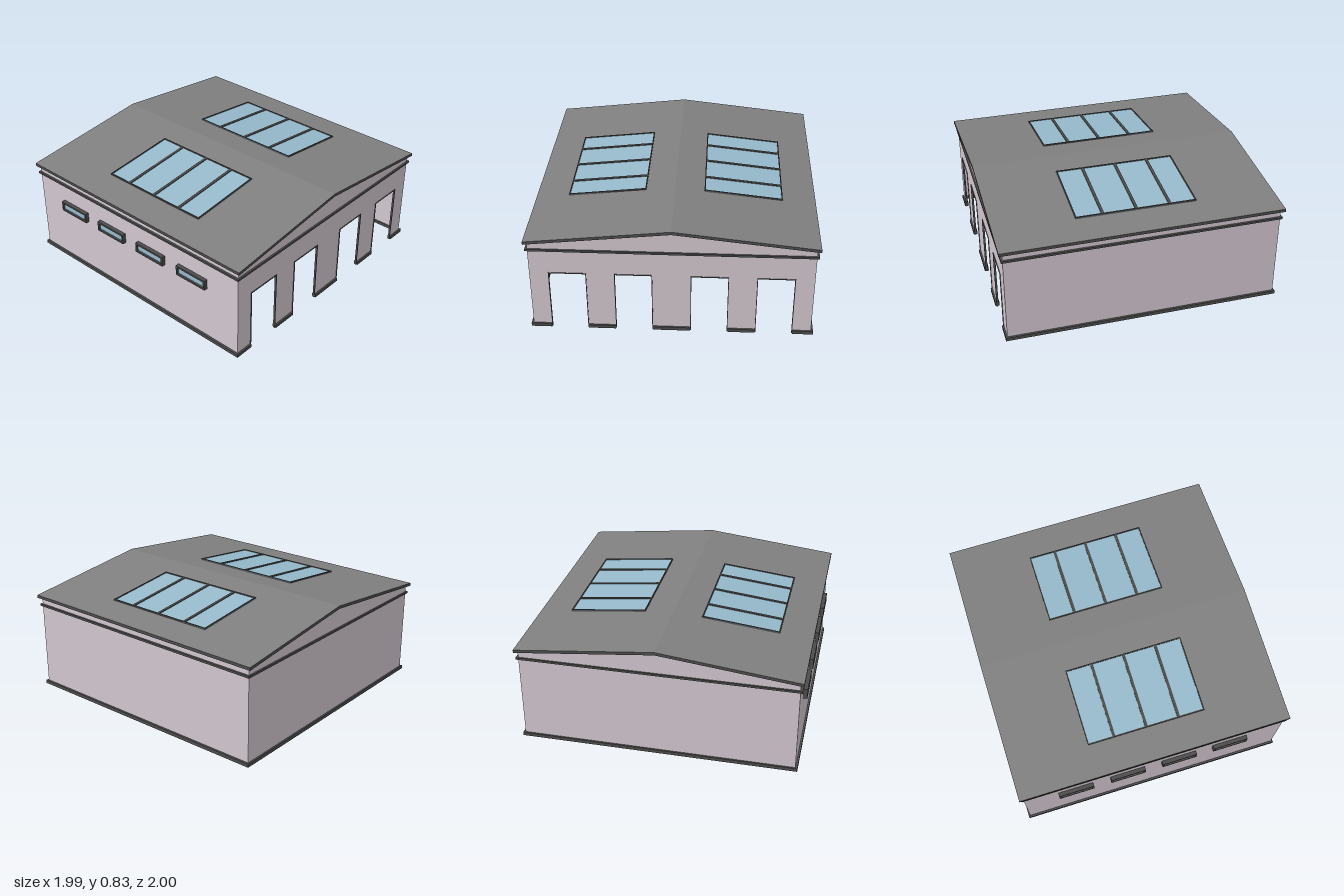
import * as THREE from 'three';

const material = (name, color, side = THREE.FrontSide) => {
  const m = new THREE.MeshStandardMaterial({ color, side });
  m.name = name;
  return m;
};

const WX = 0.969, WZ = 0.974;        // outer wall half sizes
const T = 0.008;                     // wall thickness
const RX = 0.992, RZ = 1.0;          // roof half sizes
const RIDGE = 0.83, SLOPE = 0.111, ROOF_T = 0.022;
const DOORS = [-0.71, -0.26, 0.26, 0.71], DOOR_W = 0.26, DOOR_H = 0.46;
const SKY = { x0: 0.205, x1: 0.757, z: 0.432 };

export function createModel() {
  const wall = material('pale wall', 0xd2c7cf);
  const roof = material('grey roof', 0x808080);
  const trim = material('dark trim', 0x4c4c4c);
  const glass = material('blue glass', 0x96bacb, THREE.DoubleSide);

  const model = new THREE.Group();
  const body = new THREE.Group();
  body.name = 'building';
  body.position.x = 0.003;
  model.add(body);

  const add = (parent, name, geometry, mat) => {
    const mesh = new THREE.Mesh(geometry, mat);
    mesh.name = name;
    parent.add(mesh);
    return mesh;
  };
  // box given by its minimum and maximum on each axis
  const span = (x0, x1, y0, y1, z0, z1) =>
    new THREE.BoxGeometry(x1 - x0, y1 - y0, z1 - z0)
      .translate((x0 + x1) / 2, (y0 + y1) / 2, (z0 + z1) / 2);

  // gable walls, the front one notched by doorways
  const eave = RIDGE - ROOF_T - SLOPE * WX;
  const gable = (doors) => {
    const s = new THREE.Shape();
    s.moveTo(-WX, 0);
    for (const x of doors) {
      const a = x - DOOR_W / 2, b = x + DOOR_W / 2;
      s.lineTo(a, 0); s.lineTo(a, DOOR_H); s.lineTo(b, DOOR_H); s.lineTo(b, 0);
    }
    s.lineTo(WX, 0);
    s.lineTo(WX, eave);
    s.lineTo(0, RIDGE - ROOF_T);
    s.lineTo(-WX, eave);
    s.closePath();
    return new THREE.ExtrudeGeometry(s, { depth: T, bevelEnabled: false });
  };
  add(body, 'frontWall', gable(DOORS).translate(0, 0, WZ - T), wall);
  add(body, 'backWall', gable([]).translate(0, 0, -WZ), wall);
  for (const s of [-1, 1]) {
    add(body, s > 0 ? 'leftWall' : 'rightWall',
      span(-T / 2, T / 2, 0, eave, -WZ + T, WZ - T).translate(s * (WX - T / 2), 0, 0), wall);
  }

  // door frames
  for (const x of DOORS) {
    const frame = new THREE.Group();
    frame.name = 'doorFrame';
    frame.position.x = x;
    body.add(frame);
    const h = DOOR_W / 2, w = 0.005, z0 = WZ - T - 0.002, z1 = WZ + 0.005;
    add(frame, 'leftJamb', span(h - w, h, 0, DOOR_H, z0, z1), trim);
    add(frame, 'rightJamb', span(-h, -h + w, 0, DOOR_H, z0, z1), trim);
    add(frame, 'lintel', span(-h, h, DOOR_H - w, DOOR_H, z0, z1), trim);
  }

  // base plinth and upper band, showing on both faces of the walls
  const OX = WX + 0.015, OZ = WZ + 0.012, D = 0.03;
  const ring = (name, y0, y1, frontRuns) => {
    add(body, name, span(-OX, OX, y0, y1, -OZ, -OZ + D), trim);
    for (const [a, b] of frontRuns) add(body, name, span(a, b, y0, y1, OZ - D, OZ), trim);
    for (const s of [-1, 1]) {
      add(body, name, span(-D / 2, D / 2, y0, y1, -OZ + D, OZ - D)
        .translate(s * (OX - D / 2), 0, 0), trim);
    }
  };
  const runs = [];
  let start = -OX;
  for (const x of DOORS) {
    runs.push([start, x - DOOR_W / 2]);
    start = x + DOOR_W / 2;
  }
  runs.push([start, OX]);
  ring('basePlinth', 0, 0.025, runs);
  ring('wallBand', 0.637, 0.652, [[-OX, OX]]);

  // moves a flat part, drawn with y = 0 as the roof surface, onto the slope
  const onSlope = (geometry) => {
    const p = geometry.attributes.position;
    for (let i = 0; i < p.count; i++) p.setY(i, p.getY(i) + RIDGE - SLOPE * p.getX(i));
    geometry.computeVertexNormals();
    return geometry;
  };

  // two roof halves with skylights
  for (const side of ['left', 'right']) {
    const half = new THREE.Group();
    half.name = side + 'RoofHalf';
    if (side === 'right') half.rotation.y = Math.PI;
    body.add(half);

    const rect = (path, x0, x1, z) => {
      path.moveTo(x0, -z); path.lineTo(x1, -z); path.lineTo(x1, z); path.lineTo(x0, z);
      path.closePath();
      return path;
    };
    const slab = rect(new THREE.Shape(), 0, RX, RZ);
    slab.holes.push(rect(new THREE.Path(), SKY.x0, SKY.x1, SKY.z));
    const slabGeo = new THREE.ExtrudeGeometry(slab, { depth: ROOF_T, bevelEnabled: false })
      .rotateX(-Math.PI / 2).translate(0, -ROOF_T, 0);
    add(half, 'roofSlab', onSlope(slabGeo), [roof, trim]);

    add(half, 'skylightGlass',
      onSlope(span(SKY.x0, SKY.x1, -0.003, 0.004, -SKY.z, SKY.z)), glass);

    // skylight frame and glazing bars
    const f = 0.008, lo = -ROOF_T, hi = 0.01;
    for (const x of [SKY.x0, SKY.x1 - f]) {
      add(half, 'skylightFrame', onSlope(span(x, x + f, lo, hi, -SKY.z, SKY.z)), trim);
    }
    for (const z of [-SKY.z, SKY.z - f]) {
      add(half, 'skylightFrame', onSlope(span(SKY.x0, SKY.x1, lo, hi, z, z + f)), trim);
    }
    for (const z of [-0.24, 0, 0.24]) {
      add(half, 'skylightBar',
        onSlope(span(SKY.x0, SKY.x1, -0.006, hi, z - 0.01, z + 0.01)), trim);
    }
  }

  // small windows projecting from the right wall
  for (let i = 0; i < 4; i++) {
    const win = new THREE.Group();
    win.name = 'sideWindow';
    win.position.set(-WX, 0.465, -0.595 + i * 0.39);
    body.add(win);
    const h = 0.0375, l = 0.13, w = 0.013, out = -0.029;
    for (const s of [-1, 1]) {
      add(win, 'windowRail', span(out, 0, -w / 2, w / 2, -l, l).translate(0, s * (h - w / 2), 0), trim);
      add(win, 'windowStile', span(out, 0, -h + w, h - w, -w / 2, w / 2)
        .translate(0, 0, s * (l - w / 2)), trim);
    }
    add(win, 'windowGlass', span(-0.016, -0.01, -h + w, h - w, -l + w, l - w), glass);
  }

  return model;
}
